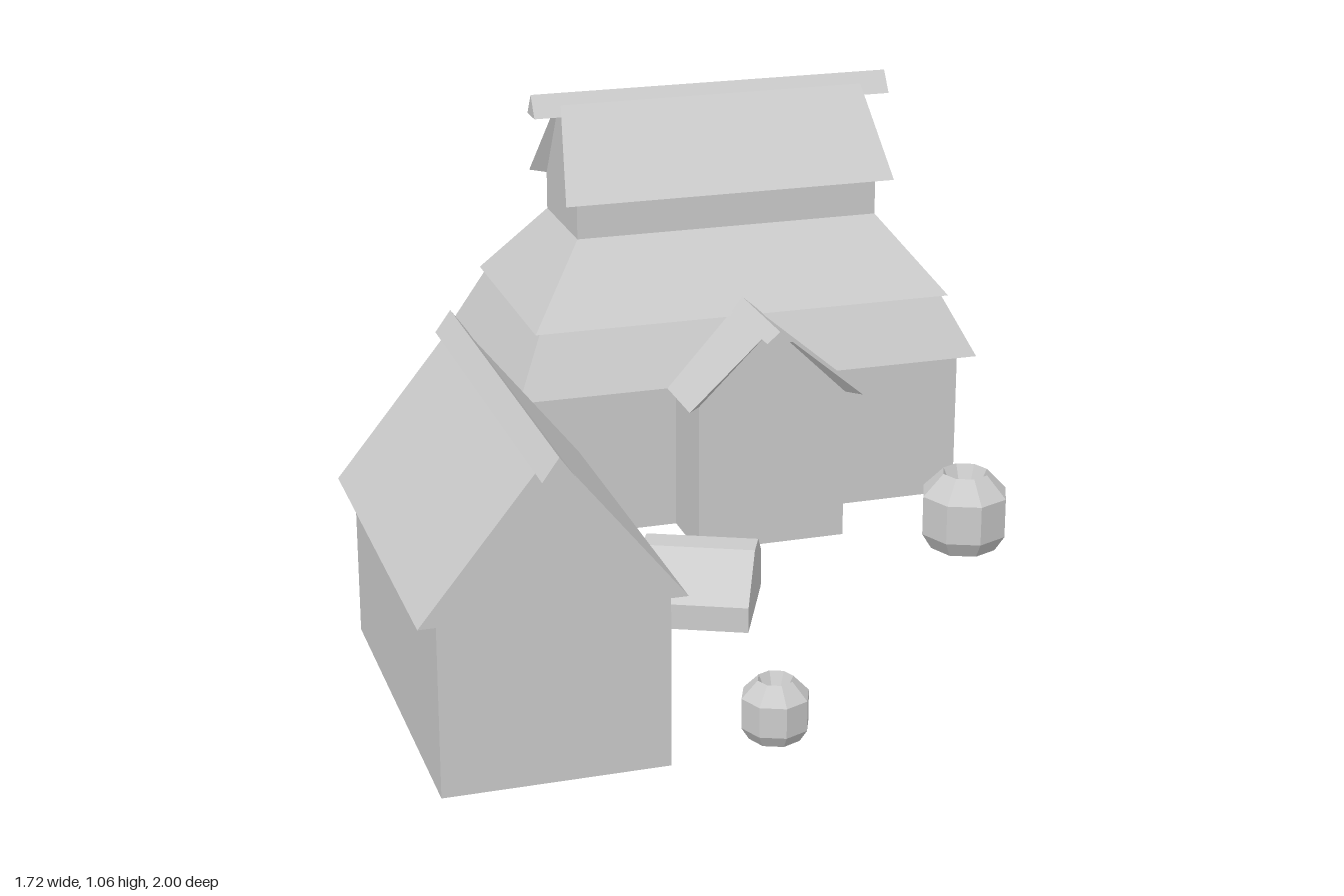
import * as THREE from 'three';

const mat = new THREE.MeshStandardMaterial({ color: 0xcccccc, flatShading: true, side: THREE.DoubleSide });

function add(parent, name, geometry) {
  const mesh = new THREE.Mesh(geometry, mat);
  mesh.name = name;
  parent.add(mesh);
  return mesh;
}

function group(name, x, z) {
  const g = new THREE.Group();
  g.name = name;
  g.position.set(x, 0, z);
  return g;
}

// Flat-shaded surface from convex polygons, corners counterclockwise from outside
function surface(polygons) {
  const pos = [];
  for (const p of polygons)
    for (let i = 1; i < p.length - 1; i++) pos.push(...p[0], ...p[i], ...p[i + 1]);
  const g = new THREE.BufferGeometry();
  g.setAttribute('position', new THREE.Float32BufferAttribute(pos, 3));
  g.computeVertexNormals();
  return g;
}

// Rectangle of half width w and half depth d at height y
const ring = (w, d, y) => [[w, y, d], [w, y, -d], [-w, y, -d], [-w, y, d]];

// Open band between two rings; sides are 0 left, 1 back, 2 right, 3 front
const band = (a, b, sides = [0, 1, 2, 3]) =>
  sides.map(i => [a[i], a[(i + 1) % 4], b[(i + 1) % 4], b[i]]);

// Front panel of a band with a gap, left open for the porch
function splitFront(a, b, gapA, gapB) {
  const [, ya, za] = a[0], [, yb, zb] = b[0];
  return [
    [a[3], [-gapA, ya, za], [-gapB, yb, zb], b[3]],
    [[gapA, ya, za], a[0], b[0], [gapB, yb, zb]],
  ];
}

// Thin gable roof along z: eaves may reach further than the ridge,
// joined to the gable wall by a slanted triangle
function gableRoof(w, wallW, y0, y1, eave, ridge, ends = [0, 1]) {
  const faces = [
    [[w, y0, eave[1]], [w, y0, eave[0]], [0, y1, ridge[0]], [0, y1, ridge[1]]],
    [[-w, y0, eave[0]], [-w, y0, eave[1]], [0, y1, ridge[1]], [0, y1, ridge[0]]],
  ];
  for (const e of ends) {
    const z = ridge[e], top = [0, y1, z], l = [wallW, y0, z], r = [-wallW, y0, z];
    const end = [[r, l, top], [[w, y0, eave[e]], top, l], [r, top, [-w, y0, eave[e]]]];
    faces.push(...(e ? end : end.map(f => f.reverse())));
  }
  return surface(faces);
}

// Outline in x/y, extruded along z from z0 to z1
function prism(points, z0, z1) {
  const shape = new THREE.Shape(points.map(p => new THREE.Vector2(...p)));
  return new THREE.ExtrudeGeometry(shape, { depth: z1 - z0, bevelEnabled: false }).translate(0, 0, z0);
}

const ridgeCap = (w, y0, y1, z0, z1) => prism([[-w, y0], [w, y0], [0, y1]], z0, z1);

function mainHall() {
  const hall = group('mainHall', 0.256, -0.641);
  const foot = ring(0.567, 0.319, 0), wallTop = ring(0.567, 0.319, 0.382);
  add(hall, 'hallWalls', surface([
    ...band(foot, wallTop, [0, 1, 2]), ...splitFront(foot, wallTop, 0.19, 0.19)]));
  const eave = ring(0.604, 0.358, 0.382), crown = ring(0.53, 0.285, 0.534);
  add(hall, 'lowerRoof', surface([
    ...band(eave, crown, [0, 1, 2]), ...splitFront(eave, crown, 0.224, 0.04)]));
  add(hall, 'middleRoof', surface(band(ring(0.545, 0.3, 0.534), ring(0.396, 0.15, 0.724))));

  // Upper storey runs along x
  const upper = group('upperStorey', 0, 0);
  upper.rotation.y = Math.PI / 2;
  hall.add(upper);
  add(upper, 'upperWalls', surface(band(ring(0.15, 0.396, 0.724), ring(0.15, 0.396, 0.82))));
  add(upper, 'upperRoof', gableRoof(0.187, 0.15, 0.82, 1.06, [-0.433, 0.433], [-0.396, 0.396]));
  add(upper, 'upperRidge', ridgeCap(0.036, 1.01, 1.064, -0.472, 0.472));
  return hall;
}

function porch() {
  const g = group('porch', 0.255, 0);
  add(g, 'porchWalls', surface(band(ring(0.19, 0.096, 0), ring(0.19, 0.096, 0.382), [0, 2, 3])))
    .position.z = -0.226;
  add(g, 'porchRoof', gableRoof(0.224, 0.19, 0.382, 0.568, [-0.285, -0.096], [-0.375, -0.13], [1]));
  add(g, 'porchRidge', ridgeCap(0.033, 0.545, 0.573, -0.375, -0.078));
  return g;
}

function barn() {
  const g = group('barn', -0.578, 0.51);
  add(g, 'barnWalls', surface(band(ring(0.246, 0.433, 0), ring(0.246, 0.433, 0.382))));
  add(g, 'barnRoof', gableRoof(0.284, 0.246, 0.382, 0.733, [-0.433, 0.433], [-0.433, 0.433]));
  add(g, 'barnRidge', ridgeCap(0.036, 0.69, 0.74, -0.49, 0.49));
  return g;
}

// Squat faceted pot, open underneath, with a sunken funnel on top
function pot(parent, name, x, z, s) {
  const profile = [[0.085, 0], [0.11, 0.04], [0.11, 0.14], [0.058, 0.195], [0, 0.07]];
  const points = profile.map(p => new THREE.Vector2(p[0] * s, p[1] * s));
  add(parent, name, new THREE.LatheGeometry(points, 8)).position.set(x, 0, z);
}

// Low covered stack, open underneath, turned in the yard
function coveredStack() {
  const outline = [[0.138, 0], [0.138, 0.095], [0.07, 0.15], [-0.005, 0.152], [-0.138, 0.062], [-0.138, 0]];
  const d = 0.134, front = outline.map(p => [...p, d]), back = outline.map(p => [...p, -d]);
  const faces = [front, [...back].reverse()];
  for (let i = 0; i < 5; i++) faces.push([front[i], back[i], back[i + 1], front[i + 1]]);
  return surface(faces);
}

export function createModel() {
  const model = group('farmstead', 0, 0);
  model.add(mainHall(), porch(), barn());
  const stack = add(model, 'coveredStack', coveredStack());
  stack.position.set(-0.034, 0, 0.183);
  stack.rotation.y = Math.PI / 2 - 0.43;
  pot(model, 'largePot', 0.71, 0.02, 1);
  pot(model, 'smallPot', -0.08, 0.875, 0.69);
  return model;
}
